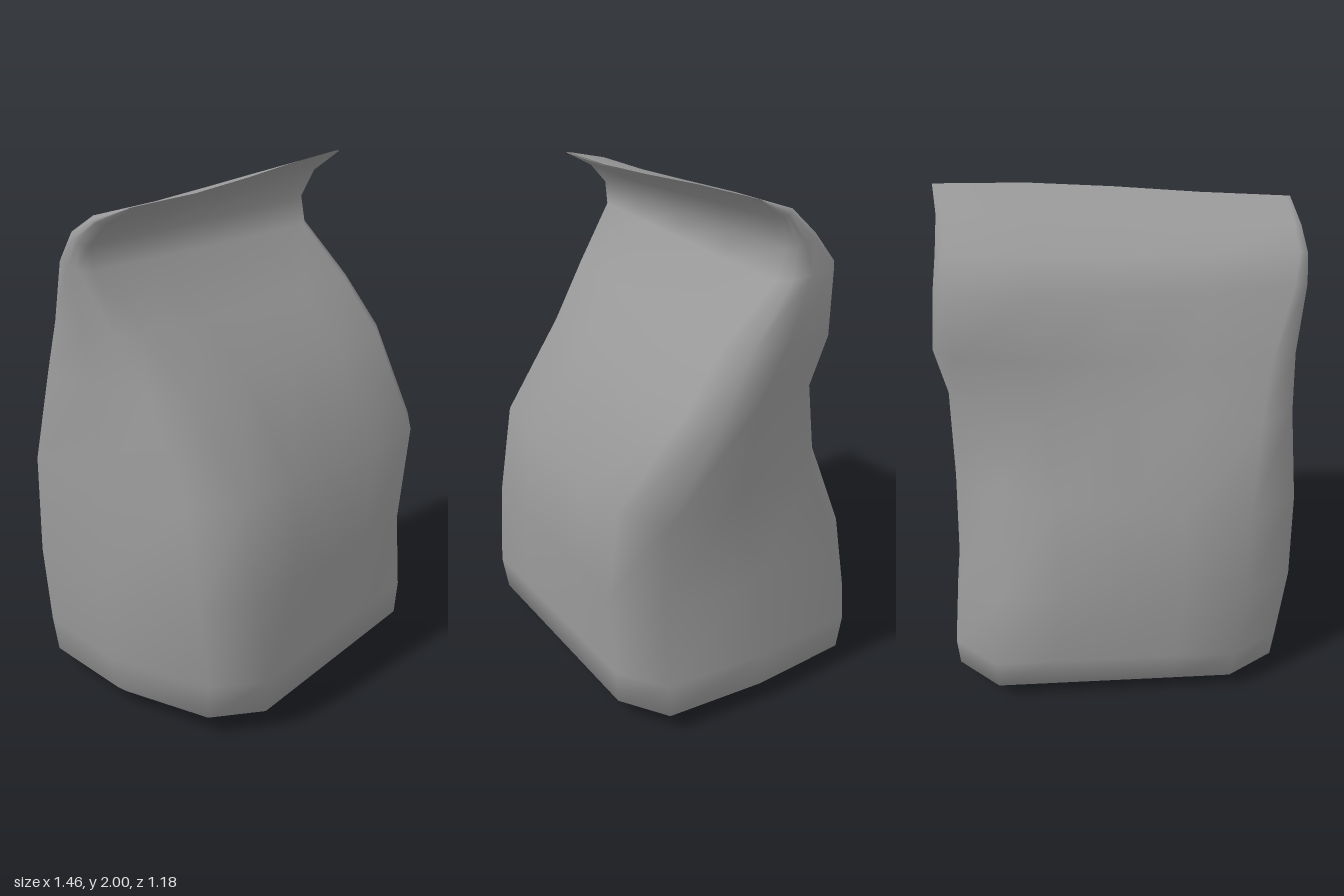
import * as THREE from 'three';

const { lerp, smoothstep } = THREE.MathUtils;
const bump = (y, centre, width) => Math.exp(-(((y - centre) / width) ** 2));

// Cross-sections from base to rim:
// height, x at -x side, x at +x side, front z at each side, back z at each side
const sections = [
  [0.004, -0.46, 0.46, 0.28, 0.26, -0.26, -0.28],
  [0.025, -0.61, 0.61, 0.45, 0.4, -0.4, -0.44],
  [0.08, -0.66, 0.685, 0.57, 0.5, -0.48, -0.57],
  [0.22, -0.67, 0.69, 0.59, 0.51, -0.5, -0.59],
  [0.54, -0.7, 0.655, 0.56, 0.51, -0.5, -0.56],
  [0.92, -0.69, 0.715, 0.5, 0.51, -0.505, -0.4],
  [1.27, -0.66, 0.73, 0.26, 0.28, -0.41, -0.32],
  [1.48, -0.66, 0.68, 0.11, 0.12, -0.33, -0.35],
  [1.69, -0.69, 0.63, -0.06, -0.1, -0.22, -0.345],
  [1.78, -0.69, 0.625, -0.06, -0.13, -0.15, -0.25],
  [1.86, -0.67, 0.63, 0.01, -0.07, -0.05, -0.14],
  [1.925, -0.64, 0.66, 0.125, 0.02, 0.117, 0.012],
];

// Closed outline of one section: front, +x side, back, -x side
function ring([y, left, right, frontL, frontR, backL, backR]) {
  const thickness = (frontL - backL + frontR - backR) / 2;
  const corner = 0.16 * Math.min(1, thickness) + 0.015;
  // Two opposite corners are tucked in, one of them deeply at mid height
  const low = 1 - smoothstep(y, 1.2, 1.6);
  const tuckL = 0.05 * low;
  const tuckR = 0.055 * low + 0.08 * bump(y, 1.12, 0.28);
  const bulge = 0.012 * smoothstep(y, 0.5, 1) + 0.02 * smoothstep(y, 1.8, 1.92);
  const backBulge = lerp(-0.03 * smoothstep(y, 0.5, 0.9), bulge, smoothstep(y, 1.75, 1.92));
  // The rim rises towards +x and its back edge stands higher
  const rise = 0.072 * smoothstep(y, 1.7, 1.925);
  const lift = 0.4 * thickness * smoothstep(y, 1.6, 1.8);
  const points = [];
  const add = (x, z, depth) =>
    points.push(x, y + rise * smoothstep(x, left, right) + lift * depth, z);

  const face = (t, xL, xR, zL, zR, bow, depth) =>
    add(lerp(xL + corner, xR - corner, t), lerp(zL, zR, t) + bow * Math.sin(Math.PI * t), depth);
  // Each side runs through its front corner, middle and back corner
  const side = (xs, front, back) => {
    const cut = Math.min(0.75 * corner / (front - back), 0.35);
    return xs.map((x, i) => {
      const depth = lerp(cut, 1 - cut, i / 2);
      return [x, lerp(front, back, depth), depth];
    });
  };
  const sideR = side([right, right - 0.12 * bump(y, 1.12, 0.28), right - tuckR], frontR, backR);
  const sideL = side([left + tuckL, left - 0.06 * bump(y, 0.3, 0.3), left], frontL, backL);
  for (let i = 0; i <= 4; i++) face(i / 4, left + tuckL, right, frontL, frontR, bulge, 0);
  sideR.forEach((p) => add(...p));
  for (let i = 4; i >= 0; i--) face(i / 4, left, right - tuckR, backL, backR, backBulge, 1);
  sideL.reverse().forEach((p) => add(...p));
  return points;
}

// Skin the sections and close the base with a fan
function loft(rings) {
  const n = rings[0].length / 3;
  const centre = rings.length * n;
  const index = [];
  for (let j = 0; j < n; j++) {
    const k = (j + 1) % n;
    index.push(centre, k, j);
    for (let i = 0; i < rings.length - 1; i++) {
      const lo = i * n, hi = lo + n;
      index.push(lo + j, lo + k, hi + k, lo + j, hi + k, hi + j);
    }
  }
  const geometry = new THREE.BufferGeometry();
  geometry.setAttribute('position', new THREE.Float32BufferAttribute([...rings.flat(), 0, 0, 0], 3));
  geometry.setIndex(index);
  geometry.computeVertexNormals();
  return geometry;
}

export function createModel() {
  const group = new THREE.Group();
  group.name = 'sack';
  const material = new THREE.MeshStandardMaterial({ color: 0x999999, side: THREE.DoubleSide });
  const body = new THREE.Mesh(loft(sections.map(ring)), material);
  body.name = 'sackBody';
  group.add(body);
  return group;
}
